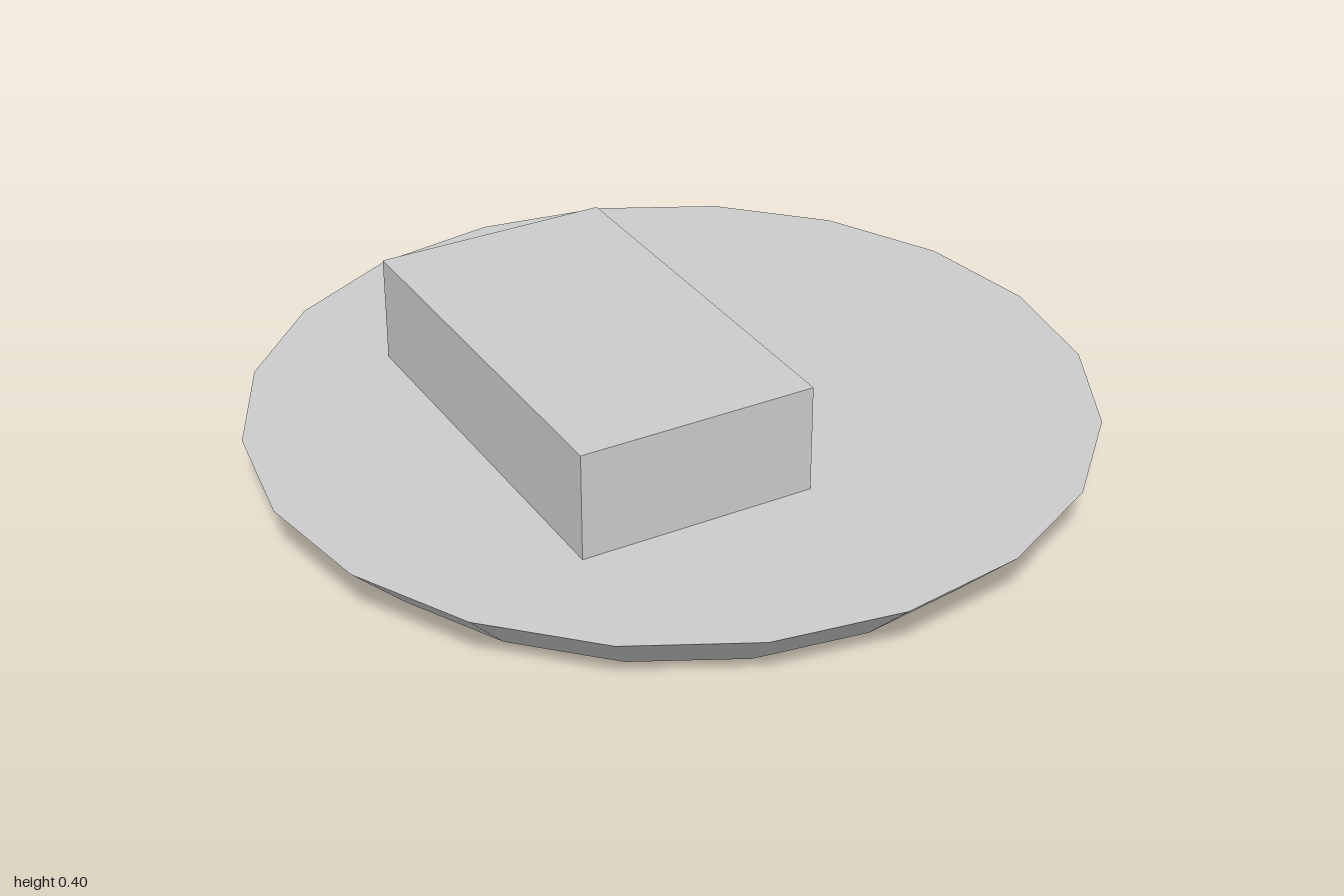
import * as THREE from 'three';

export function createModel() {
  const group = new THREE.Group();
  const grey = new THREE.MeshStandardMaterial({ color: 0xcccccc, flatShading: true });
  grey.name = 'light grey';

  const add = (name, geometry, x, y) => {
    const mesh = new THREE.Mesh(geometry, grey);
    mesh.name = name;
    mesh.position.set(x, y, 0);
    group.add(mesh);
  };

  const baseHeight = 0.143;
  const blockHeight = 0.26;

  // Twenty-sided dish, wider at the top
  add('base', new THREE.CylinderGeometry(1, 0.857, baseHeight, 20), 0, baseHeight / 2);

  // Block standing off-centre on the base
  add('block', new THREE.BoxGeometry(0.571, blockHeight, 1), -0.214, baseHeight + blockHeight / 2);

  return group;
}
